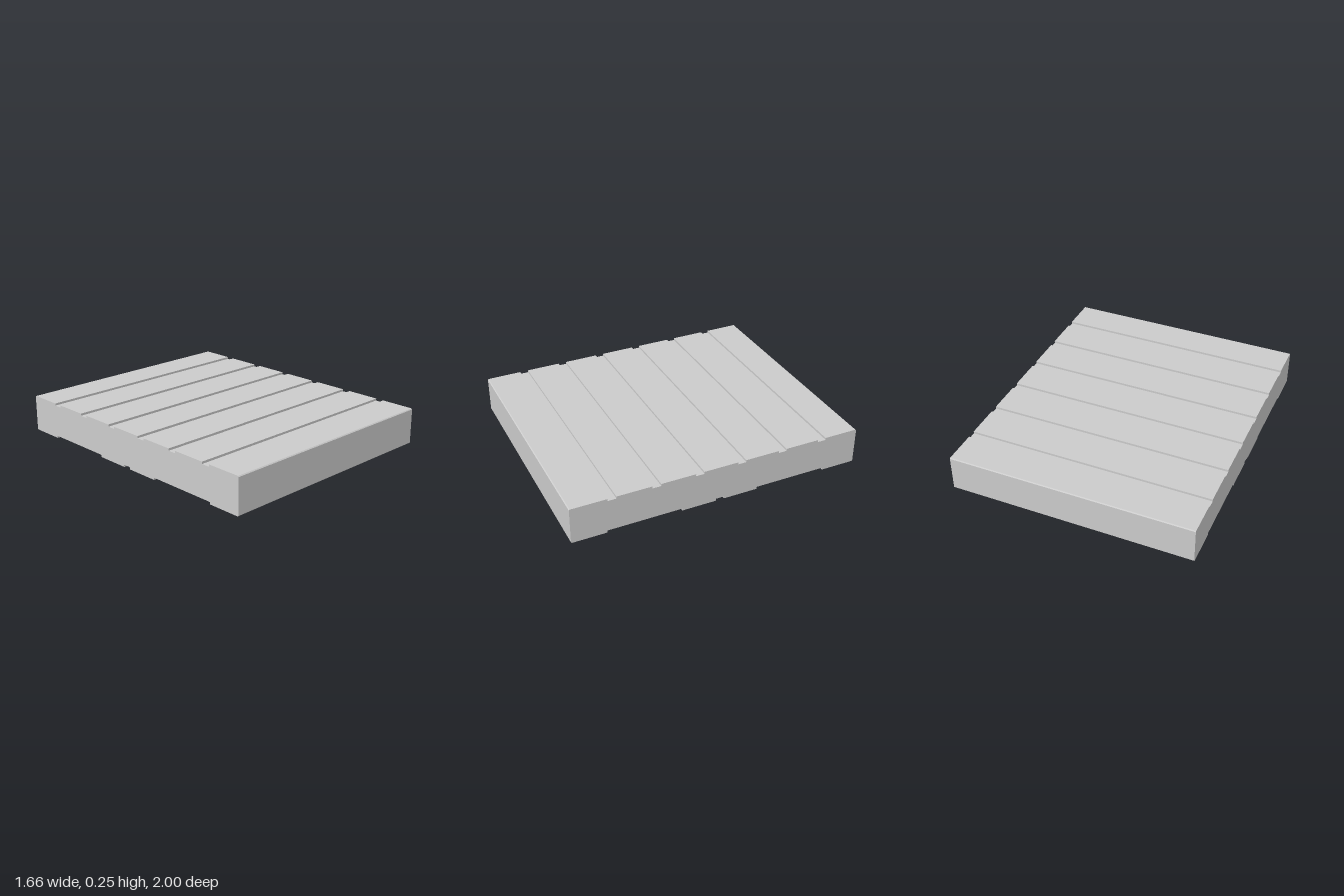
import * as THREE from 'three';

export function createModel() {
  const group = new THREE.Group();
  const width = 1.66, height = 0.25, chamfer = 0.006, depth = 0.015;

  // Side profile: horizontal axis is z, vertical axis is y
  const points = [[-1, chamfer], [-1 + chamfer, 0]];

  // Underside: two wide recesses and a narrow central channel
  for (const [a, b] of [[-0.76, -0.265], [-0.028, 0.028], [0.265, 0.765]]) {
    points.push([a, 0], [a, depth], [b, depth], [b, 0]);
  }
  points.push([1 - chamfer, 0], [1, chamfer], [1, height - chamfer], [1 - chamfer, height]);

  // Top: six evenly spaced anti-slip grooves
  for (let i = 5; i >= 0; i--) {
    const z = -0.735 + i * 0.293, half = 0.029;
    points.push([z + half, height], [z + half, height - depth],
      [z - half, height - depth], [z - half, height]);
  }
  points.push([-1 + chamfer, height], [-1, height - chamfer]);

  // Sweep the profile across the width
  const shape = new THREE.Shape(points.map(([z, y]) => new THREE.Vector2(z, y)));
  const geometry = new THREE.ExtrudeGeometry(shape, { depth: width, bevelEnabled: false });
  geometry.translate(0, 0, -width / 2);
  geometry.rotateY(-Math.PI / 2);

  const plank = new THREE.Mesh(geometry,
    new THREE.MeshStandardMaterial({ color: 0xcccccc, flatShading: true }));
  plank.name = 'groovedPlank';
  group.add(plank);
  return group;
}
